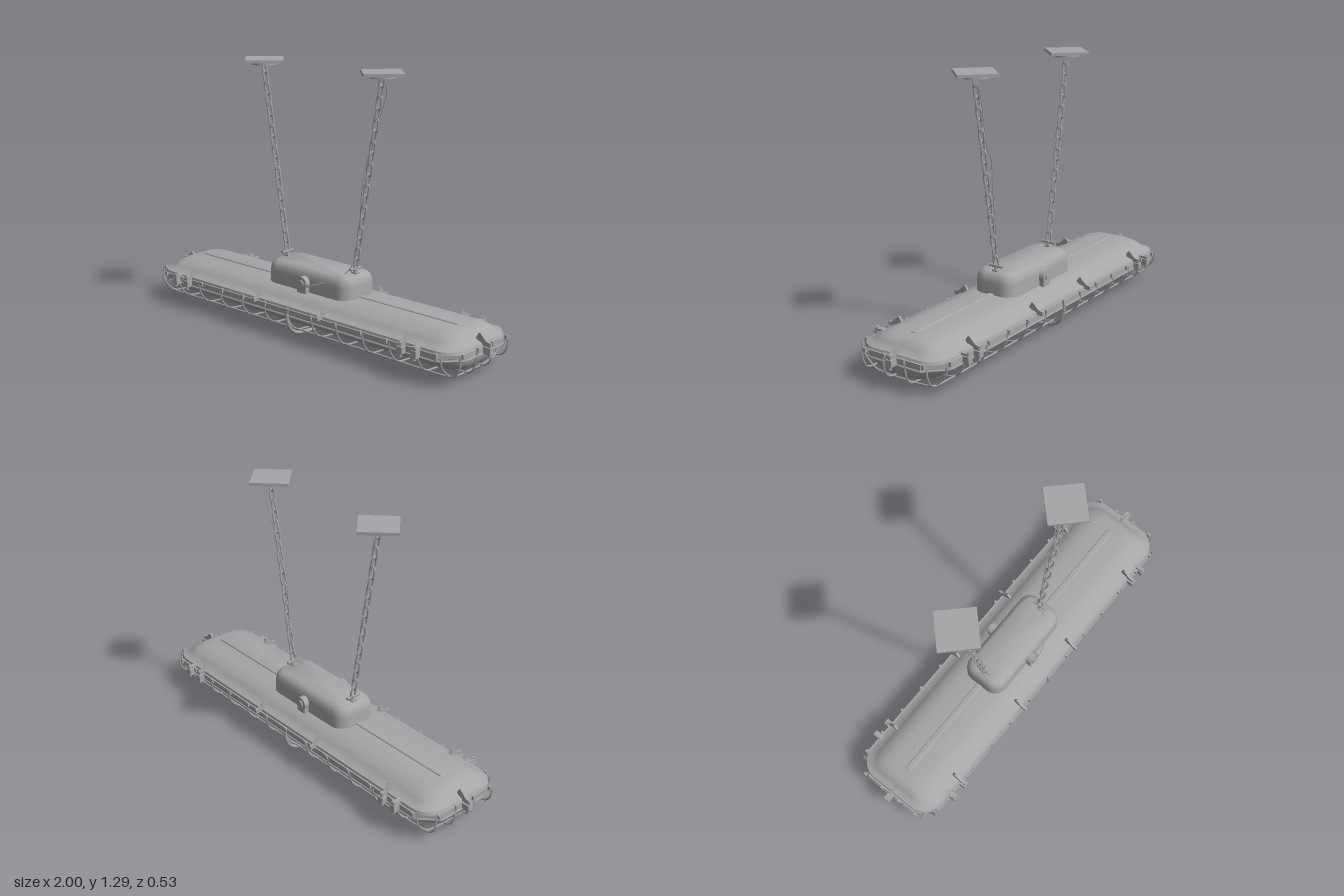
import * as THREE from 'three';
import { toCreasedNormals } from 'three/addons/utils/BufferGeometryUtils.js';

const V = (x, y, z) => new THREE.Vector3(x, y, z);

// Rounded (or, with seg = 1, chamfered) rectangle outline in x/z
function outline(hx, hz, r, seg) {
  const pts = [];
  [[1, 1], [-1, 1], [-1, -1], [1, -1]].forEach(([sx, sz], q) => {
    for (let i = 0; i <= seg; i++) {
      const a = (q + i / seg) * Math.PI / 2;
      pts.push([sx * (hx - r) + r * Math.cos(a), sz * (hz - r) + r * Math.sin(a)]);
    }
  });
  return pts;
}

// Stack of outlines from bottom to top, rows are [y, halfX, halfZ, radius]
function loft(rows, seg = 7, crease = 0.6) {
  const pos = [], index = [], n = 4 * (seg + 1);
  rows.forEach(([y, hx, hz, r]) => outline(hx, hz, r, seg).forEach(([x, z]) => pos.push(x, y, z)));
  for (let k = 0; k < rows.length - 1; k++) {
    for (let i = 0; i < n; i++) {
      const a = k * n + i, b = k * n + (i + 1) % n;
      index.push(a, a + n, b, b, a + n, b + n);
    }
  }
  const last = rows.length - 1, base = last * n, c = pos.length / 3;
  pos.push(0, rows[0][0], 0, 0, rows[last][0], 0);
  for (let i = 0; i < n; i++) {
    const j = (i + 1) % n;
    index.push(c, i, j, c + 1, base + j, base + i);
  }
  const g = new THREE.BufferGeometry();
  g.setAttribute('position', new THREE.Float32BufferAttribute(pos, 3));
  g.setIndex(index);
  return toCreasedNormals(g, crease);
}

export function createModel() {
  const root = new THREE.Group();
  root.name = 'hangingLamp';
  const metal = new THREE.MeshStandardMaterial({ color: 0xa6a6a6 });
  metal.name = 'grey metal';

  const add = (name, geo, x = 0, y = 0, z = 0, parent = root) => {
    const m = new THREE.Mesh(geo, metal);
    m.name = name;
    m.position.set(x, y, z);
    parent.add(m);
    return m;
  };
  const box = (w, h, d) => new THREE.BoxGeometry(w, h, d);
  const wire = (pts, r, n, closed = false, sides = 6) =>
    new THREE.TubeGeometry(new THREE.CatmullRomCurve3(pts, closed), n, r, sides, closed);

  // Housing, rim, diffuser and junction box
  add('housing', loft([
    [0.15, 0.955, 0.225, 0.1], [0.163, 0.95, 0.222, 0.1], [0.172, 0.925, 0.19, 0.085],
    [0.185, 0.915, 0.178, 0.08], [0.2, 0.9, 0.155, 0.075], [0.212, 0.88, 0.125, 0.07], [0.218, 0.85, 0.095, 0.06]]));
  add('rim', loft([[0.118, 0.962, 0.232, 0.09], [0.152, 0.962, 0.232, 0.09]], 1));
  add('rimLip', loft([[0.152, 0.95, 0.222, 0.09], [0.162, 0.95, 0.222, 0.09]], 1));
  add('topRidge', loft([[0.21, 0.835, 0.02, 0.015], [0.222, 0.83, 0.016, 0.012], [0.226, 0.82, 0.008, 0.006]], 3));
  add('diffuser', loft([
    [0.04, 0.87, 0.06, 0.05], [0.045, 0.9, 0.1, 0.07], [0.057, 0.922, 0.14, 0.09],
    [0.078, 0.938, 0.178, 0.1], [0.1, 0.945, 0.202, 0.1], [0.13, 0.948, 0.216, 0.1]], 7, 0.8));
  add('junctionBox', loft([
    [0.19, 0.268, 0.115, 0.065], [0.275, 0.266, 0.113, 0.065], [0.298, 0.262, 0.109, 0.062],
    [0.315, 0.252, 0.099, 0.055], [0.325, 0.236, 0.083, 0.045]], 7, 0.7));

  // Cable glands on both sides of the junction box
  for (const s of [1, -1]) {
    const g = new THREE.Group();
    g.name = 'cableGland';
    g.rotation.x = Math.PI / 2;
    g.position.set(0, 0.258, s * 0.125);
    add('glandBody', new THREE.CylinderGeometry(0.033, 0.033, 0.03, 18), 0, 0, 0, g);
    add('glandCap', new THREE.CylinderGeometry(0.018, 0.018, 0.045, 12), 0, 0, 0, g);
    add('glandFoot', box(0.055, 0.025, 0.045), 0, 0, 0.025, g);
    root.add(g);
  }

  // Cage: cross ribs
  for (let i = -6; i <= 6; i++) {
    const x = i === 0 ? 0 : Math.sign(i) * Math.min(Math.abs(i) * 0.155, 0.9);
    const w = Math.abs(i) === 6 ? 0.95 : 1;
    add('cageRib', wire([V(x, 0.145, 0.236), V(x, 0.1, 0.227), V(x, 0.06, 0.2 * w), V(x, 0.038, 0.165 * w),
      V(x, 0.03, 0.1), V(x, 0.028, 0), V(x, 0.03, -0.1), V(x, 0.038, -0.165 * w), V(x, 0.06, -0.2 * w),
      V(x, 0.1, -0.227), V(x, 0.145, -0.236)], 0.0045, 32));
    for (const s of [1, -1]) add('ribEnd', box(0.014, 0.02, 0.012), x * 0.97, 0.148, s * 0.235);
  }
  // Cage: lengthwise wires that turn up at both ends
  for (const z of [-0.18, -0.06, 0.06, 0.18]) {
    const y = Math.abs(z) > 0.1 ? 0.046 : 0.031;
    const half = [[0.963, 0.145], [0.961, 0.1], [0.948, y + 0.025], [0.925, y + 0.006], [0.88, y], [0.5, y]];
    const pts = [...half.map(([a, b]) => V(-a, b, z)), ...half.reverse().map(([a, b]) => V(a, b, z))];
    add('cageWire', wire(pts, 0.0045, 120));
    for (const s of [1, -1]) add('wireEnd', box(0.012, 0.02, 0.014), s * 0.965, 0.148, z * 0.9);
  }
  const ring = outline(0.962, 0.232, 0.09, 1).map(([x, z]) => V(x, 0.12, z));
  const ringPath = new THREE.CurvePath();
  ring.forEach((p, i) => ringPath.add(new THREE.LineCurve3(p, ring[(i + 1) % ring.length])));
  add('cageRing', new THREE.TubeGeometry(ringPath, 160, 0.005, 6, true));

  // Thick hoop across the middle of the cage
  add('cageHoop', wire([V(0, 0.135, 0.24), V(0, 0.09, 0.232), V(0, 0.05, 0.212), V(0, 0.024, 0.175), V(0, 0.012, 0.1),
    V(0, 0.009, 0), V(0, 0.012, -0.1), V(0, 0.024, -0.175), V(0, 0.05, -0.212), V(0, 0.09, -0.232),
    V(0, 0.135, -0.24)], 0.009, 48, false, 8));

  // Clamps: a tapering fin, with an optional bolt and block; local +z points outwards
  const finShape = new THREE.Shape([[0, 0.15], [0.085, 0.15], [0.085, 0.168], [0.06, 0.175], [0.03, 0.205], [0.022, 0.205], [0, 0.17]]
    .map(([a, b]) => new THREE.Vector2(a, b)));
  const finGeo = new THREE.ExtrudeGeometry(finShape, { depth: 0.012, bevelEnabled: false });
  finGeo.translate(0, 0, -0.006).rotateY(-Math.PI / 2);
  function clamp(x, z, turn, bolt) {
    const g = new THREE.Group();
    g.name = 'clamp';
    g.position.set(x, 0, z);
    g.rotation.y = turn;
    add('clampFin', finGeo, 0, 0, 0, g);
    if (bolt) {
      add('clampBlock', box(0.03, 0.032, 0.04), 0, 0.135, 0.07, g);
      add('clampBolt', new THREE.CylinderGeometry(0.008, 0.008, 0.068, 8), 0, 0.137, 0.078, g);
    }
    root.add(g);
  }
  for (const s of [1, -1]) {
    const turn = s > 0 ? 0 : Math.PI;
    for (const x of [-0.695, 0.695]) clamp(x, s * 0.172, turn, true);
    for (const x of [-0.208, 0.208]) clamp(x, s * 0.172, turn, false);
    clamp(s * 0.91, 0, s * Math.PI / 2, true);
    // Hinges near the ends of the long sides
    for (const x of [-0.775, 0.775]) {
      add('hingeArm', box(0.022, 0.012, 0.075), x, 0.16, s * 0.225);
      add('hingeBlock', box(0.028, 0.035, 0.032), x, 0.135, s * 0.249);
      add('hingePin', new THREE.CylinderGeometry(0.008, 0.008, 0.065, 8), x, 0.14, s * 0.256);
    }
  }

  // Chain link: a stadium-shaped ring standing in the x/y plane
  const linkPts = [];
  for (let i = 0; i < 16; i++) {
    const a = (i + 0.5) / 16 * Math.PI * 2;
    linkPts.push(V(0.0125 * Math.cos(a), 0.0125 * Math.sin(a) + (i < 8 ? 0.019 : -0.019), 0));
  }
  const linkGeo = wire(linkPts, 0.005, 28, true);

  // Ceiling plates, chains and eyes
  for (const s of [1, -1]) {
    const plate = add('ceilingPlate', box(0.184, 0.014, 0.184), s * 0.37, 1.283, 0);
    plate.rotation.y = Math.PI / 4;
    add('ceilingDisc', new THREE.CylinderGeometry(0.067, 0.067, 0.014, 28), s * 0.37, 1.27, 0);
    for (let i = 0; i < 18; i++) {
      const t = i / 17;
      const link = add('chainLink', linkGeo, s * (0.37 - 0.145 * t), 1.25 - 0.88 * t, 0);
      link.rotation.order = 'ZYX';
      link.rotation.z = -s * 0.163;
      link.rotation.y = i % 2 ? Math.PI / 2 : 0;
    }
    add('eyePost', new THREE.CylinderGeometry(0.009, 0.012, 0.04, 10), s * 0.222, 0.335, 0);
    const bar = add('eyeBar', new THREE.CylinderGeometry(0.007, 0.007, 0.074, 8), s * 0.222, 0.348, 0);
    bar.rotation.x = Math.PI / 2;
    add('eyeCollar', box(0.03, 0.012, 0.028), s * 0.222, 0.326, 0);
  }

  // Power cable from the front gland up along one chain
  add('cable', wire([V(0, 0.258, 0.145), V(0.06, 0.262, 0.14), V(0.14, 0.29, 0.1), V(0.2, 0.335, 0.035),
    V(0.225, 0.4, 0.004), V(0.238, 0.55, -0.008), V(0.255, 0.75, -0.006), V(0.275, 0.87, -0.016), V(0.31, 0.95, -0.014),
    V(0.335, 1.05, -0.02), V(0.368, 1.17, -0.03), V(0.375, 1.22, -0.024), V(0.368, 1.25, 0)], 0.0028, 90, false, 5));

  return root;
}
